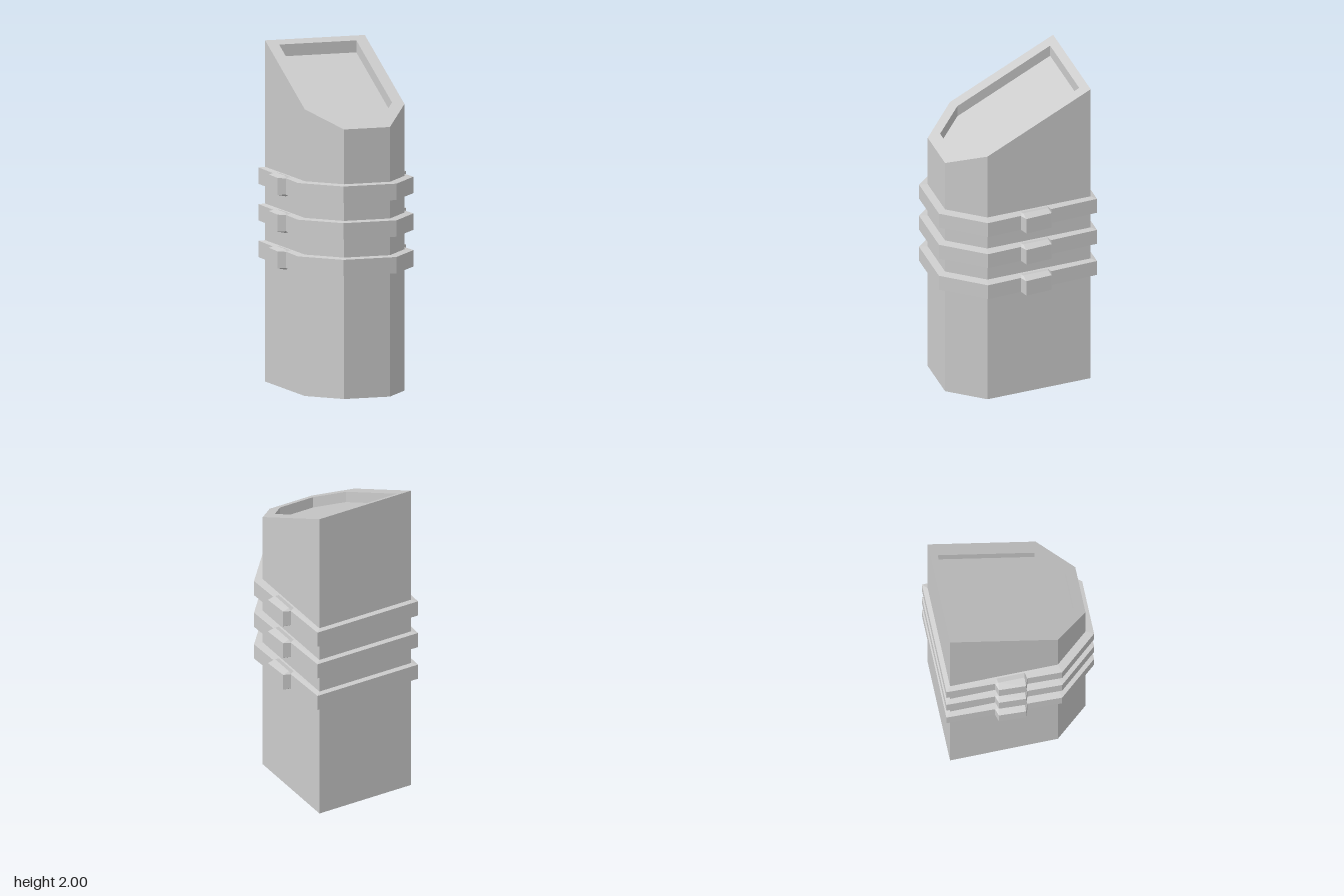
import * as THREE from 'three';
import { ConvexGeometry } from 'three/addons/geometries/ConvexGeometry.js';

const material = new THREE.MeshStandardMaterial({ color: 0xcccccc, flatShading: true });

// Six-sided plan with a chamfered front, counter-clockwise from above.
function plan(backHalf, sideHalf, noseHalf, back, shoulder, front) {
  return [[sideHalf, shoulder], [backHalf, back], [-backHalf, back],
    [-sideHalf, shoulder], [-noseHalf, front], [noseHalf, front]];
}

// Places a plan at a height that may depend on z.
const loopAt = (outline, height) => outline.map(([x, z]) => new THREE.Vector3(x, height(z), z));

// Skins successive loops, optionally closing the first and last with flat caps.
function loft(loops, capped) {
  const points = [];
  const n = loops[0].length;
  for (let k = 0; k < loops.length - 1; k++) {
    const a = loops[k], b = loops[k + 1];
    for (let i = 0; i < n; i++) {
      const j = (i + 1) % n;
      points.push(a[i], a[j], b[j], a[i], b[j], b[i]);
    }
  }
  if (capped) {
    const first = loops[0], last = loops[loops.length - 1];
    for (let i = 1; i < n - 1; i++) {
      points.push(first[0], first[i + 1], first[i], last[0], last[i], last[i + 1]);
    }
  }
  const geometry = new THREE.BufferGeometry().setFromPoints(points);
  geometry.computeVertexNormals();
  return geometry;
}

function addMesh(parent, name, geometry) {
  const mesh = new THREE.Mesh(geometry, material);
  mesh.name = name;
  parent.add(mesh);
  return mesh;
}

// Side clip: a faceted block, widest halfway out from the wall.
function clipGeometry(side) {
  const points = [];
  const add = (x, y, z) => points.push(new THREE.Vector3(side * x, y, z));
  for (const s of [-1, 1]) {
    add(0.31, s * 0.05, -0.16);
    add(0.31, s * 0.05, 0.013);
    add(0.35, s * 0.06, -0.152);
    add(0.35, s * 0.06, 0.003);
    add(0.348, s * 0.047, -0.171);
    add(0.353, s * 0.047, 0.02);
    add(0.392, s * 0.05, -0.157);
    add(0.4, s * 0.05, 0.002);
  }
  return new ConvexGeometry(points);
}

export function createModel() {
  const model = new THREE.Group();
  model.name = 'slantedColumn';

  const wall = plan(0.31, 0.31, 0.143, -0.43, 0.21, 0.41);
  const recess = plan(0.24, 0.24, 0.112, -0.385, 0.19, 0.345);
  const slant = (z) => 2 - 0.5 * (z + 0.43);

  // Column with a slanted top, raised rim and sunken panel
  addMesh(model, 'column', loft([
    loopAt(wall, () => 0),
    loopAt(wall, slant),
    loopAt(recess, slant),
    loopAt(recess, (z) => slant(z) - 0.07),
  ], true));

  // Three bands, each with a clip on both sides
  const rim = plan(0.34, 0.36, 0.165, -0.458, 0.225, 0.456);
  const bandGeometry = loft([
    loopAt(wall, () => -0.054),
    loopAt(rim, () => -0.048),
    loopAt(rim, () => 0.048),
    loopAt(wall, () => 0.054),
  ], false);
  const clips = { leftClip: clipGeometry(1), rightClip: clipGeometry(-1) };

  for (const y of [0.775, 0.99, 1.205]) {
    const band = new THREE.Group();
    band.name = 'bandAssembly';
    band.position.y = y;
    addMesh(band, 'band', bandGeometry);
    for (const name in clips) addMesh(band, name, clips[name]);
    model.add(band);
  }
  return model;
}
